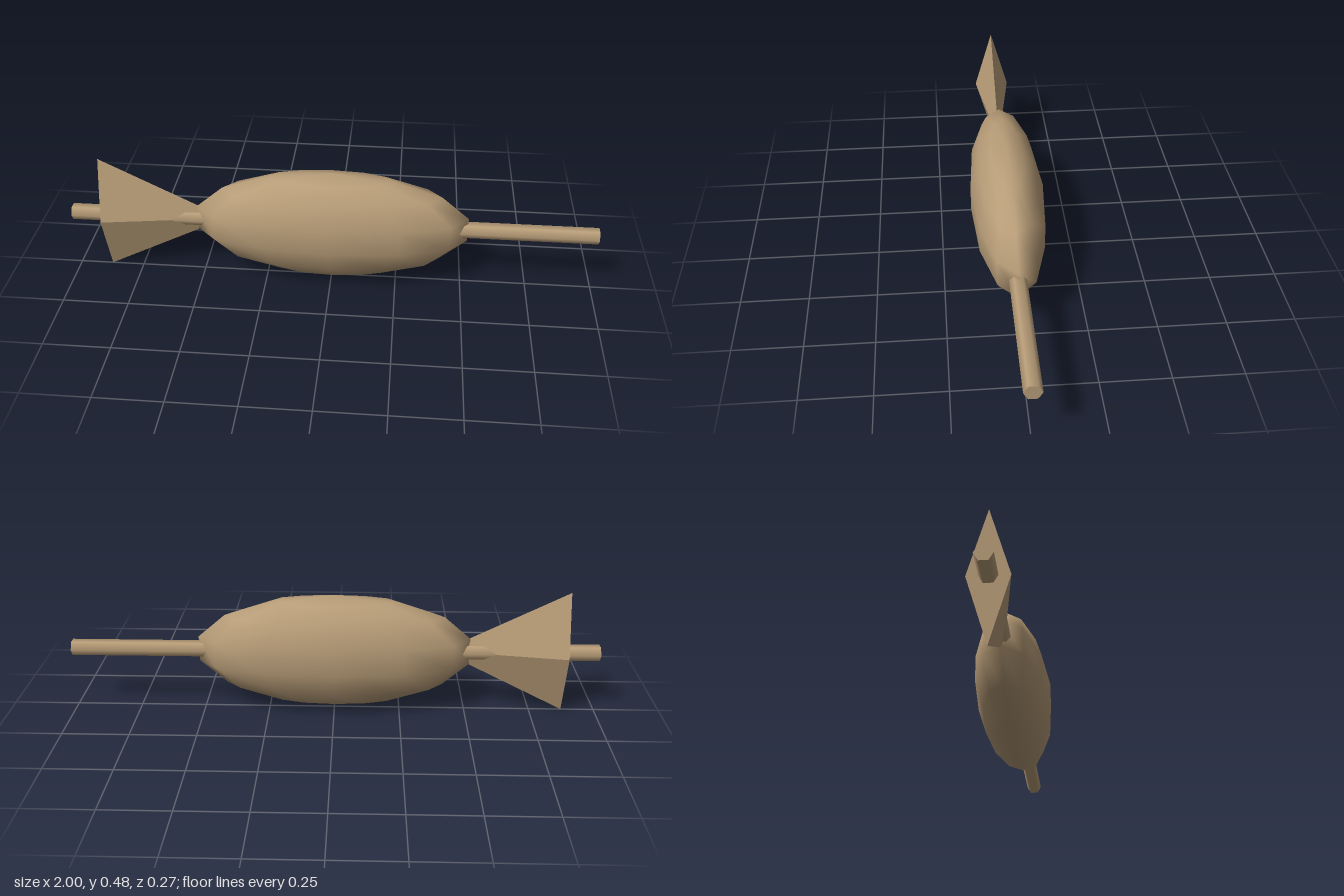
import * as THREE from 'three';

export function createModel() {
  const group = new THREE.Group();
  const roasted = new THREE.MeshStandardMaterial({ color: 0xb89d78 });
  roasted.name = 'roasted tan';
  const midY = 0.24;

  const add = (name, geometry, x = 0) => {
    const mesh = new THREE.Mesh(geometry, roasted);
    mesh.name = name;
    mesh.position.set(x, midY, 0);
    group.add(mesh);
  };

  // Fish body: a smooth, coarse ellipsoid with its poles at top and bottom
  add('body', new THREE.SphereGeometry(1, 12, 7).scale(0.528, 0.2215, 0.14));

  // Tail: a faceted diamond pyramid, its tip buried in the body
  const tail = new THREE.ConeGeometry(1, 0.47, 4)
    .scale(0.24, 1, 0.07)
    .rotateZ(-Math.PI / 2)
    .toNonIndexed();
  tail.computeVertexNormals();
  add('tail', tail, -0.64);

  // Skewer: a six-sided rod running through the whole fish
  add('skewer', new THREE.CylinderGeometry(0.031, 0.031, 2, 6).rotateZ(Math.PI / 2));

  return group;
}
